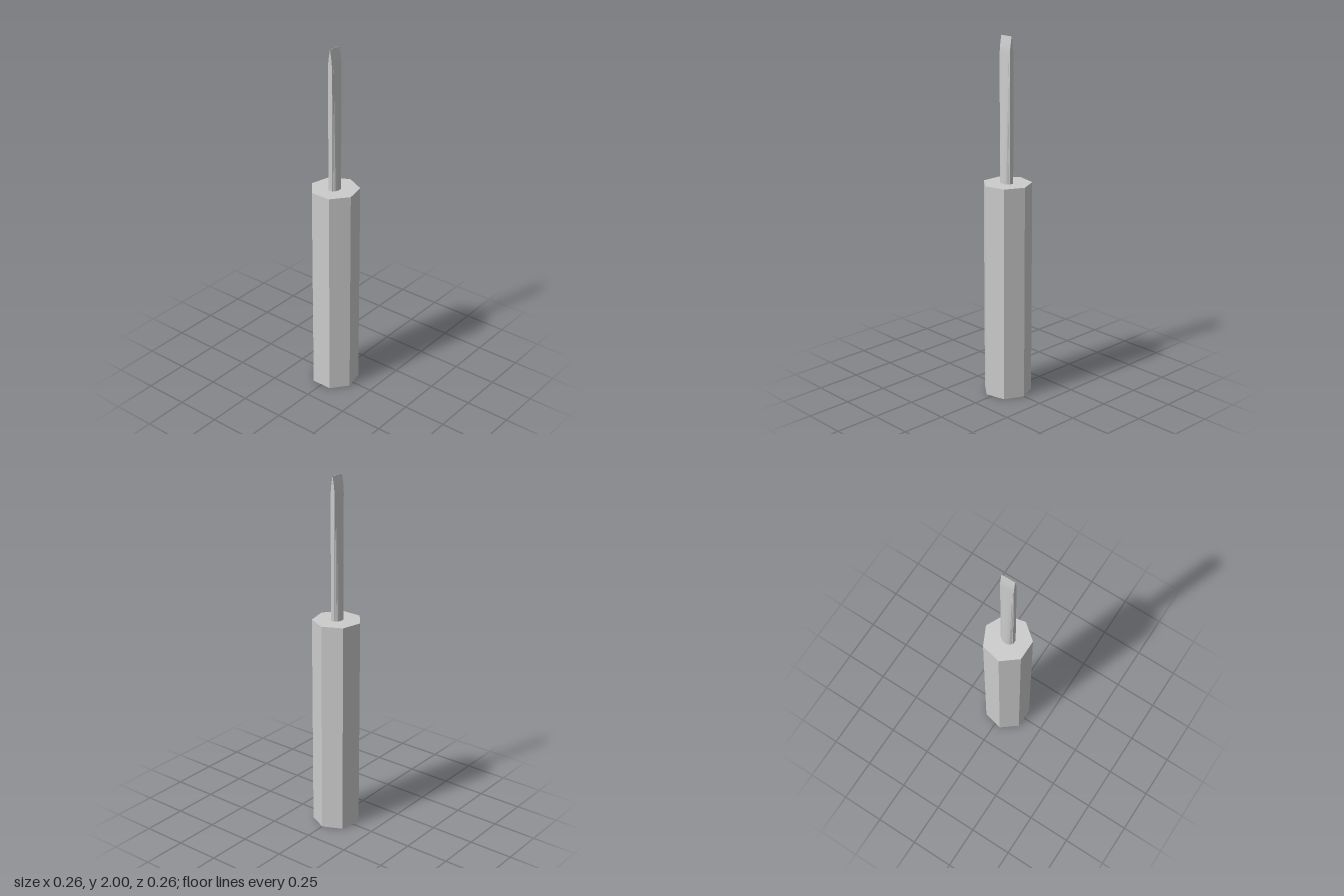
import * as THREE from 'three';
import { toCreasedNormals } from 'three/addons/utils/BufferGeometryUtils.js';

const HANDLE_TOP = 1.21;

// Rows of the blade: height and half thickness
const ROWS = [[HANDLE_TOP, 0.031], [1.9, 0.0125], [1.925, 0.0115], [1.95, 0.009], [1.975, 0.005], [2, 0.0008]];

// Oval shaft that flattens into a wedge tip of constant width
function bladeGeometry() {
  const sides = 24, last = ROWS.length - 1, halfWidth = 0.0385;
  const geo = new THREE.CylinderGeometry(1, 1, last, sides, last, false, Math.PI / sides);
  const pos = geo.attributes.position;
  const widest = Math.cos(Math.PI / sides);
  for (let i = 0; i < pos.count; i++) {
    const x = pos.getX(i), z = pos.getZ(i);
    const row = Math.round(pos.getY(i) + last / 2);
    const [y, half] = ROWS[row];
    const flat = Math.min(half, 0.0125);
    const isCentre = Math.hypot(x, z) < 0.5;
    const depth = isCentre ? 0 : Math.sign(z) * Math.max(Math.abs(z) * half, flat);
    pos.setXYZ(i, (x / widest) * halfWidth, y, depth);
  }
  return toCreasedNormals(geo, 0.6);
}

export function createModel() {
  const model = new THREE.Group();
  const material = new THREE.MeshStandardMaterial({ color: 0xcccccc });
  const facets = new THREE.MeshStandardMaterial({ color: 0xcccccc, flatShading: true });

  // Seven-sided handle with one corner towards +x
  const handle = new THREE.Mesh(
    new THREE.CylinderGeometry(0.135, 0.135, HANDLE_TOP, 7, 1, false, Math.PI / 2), facets);
  handle.name = 'handle';
  handle.position.set(-0.007, HANDLE_TOP / 2, 0);
  model.add(handle);

  // Blade with its tapered tip
  const blade = new THREE.Mesh(bladeGeometry(), material);
  blade.name = 'blade';
  blade.position.set(-0.01, 0, 0.002);
  model.add(blade);

  return model;
}
